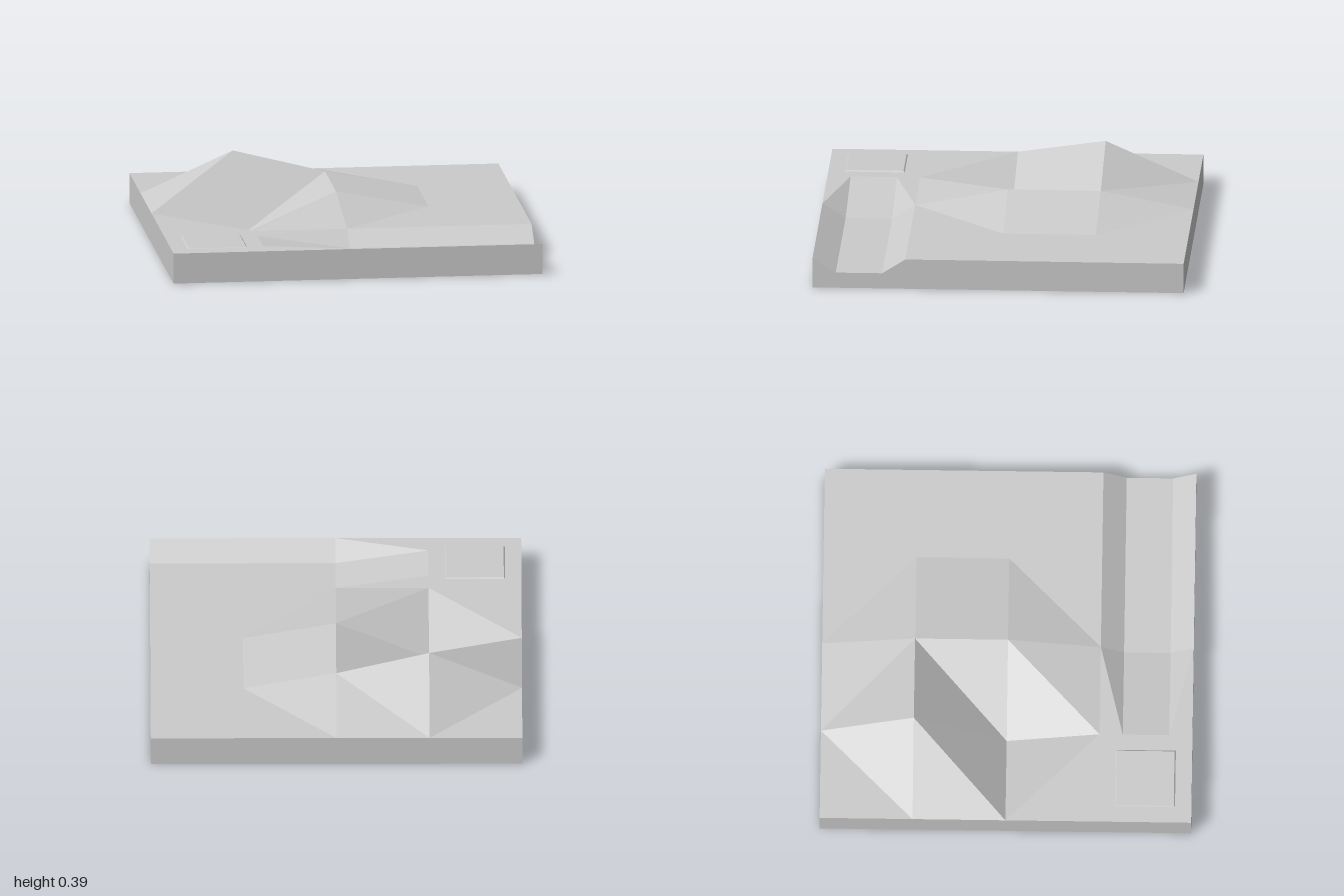
import * as THREE from 'three';

const GROUND = 0.165, BED = 0.085;

// Flat-shaded mesh from convex polygons, corners counter-clockwise from outside
function facetMesh(name, polygons) {
  const pos = [];
  for (const p of polygons)
    for (let i = 1; i < p.length - 1; i++) pos.push(...p[0], ...p[i], ...p[i + 1]);
  const geo = new THREE.BufferGeometry();
  geo.setAttribute('position', new THREE.Float32BufferAttribute(pos, 3));
  geo.computeVertexNormals();
  const mesh = new THREE.Mesh(geo, new THREE.MeshStandardMaterial({ color: 0xcccccc, flatShading: true }));
  mesh.name = name;
  return mesh;
}

// Hill: heights on a half-unit grid; everything else is level ground
function hillside() {
  const heights = { '-0.5,-0.5': 0.388, '0,-0.5': 0.26, '0,0': 0.26, '-0.5,0': 0.04 };
  const at = (x, z) => [x, heights[`${x},${z}`] ?? GROUND, z];
  // cells whose diagonal runs from back-left of the plan to front-right
  const flipped = ['-0.5,-1', '0,-1', '-1,0'];
  const faces = [];
  for (let x = -1; x < 1; x += 0.5) {
    for (let z = -1; z < 0.5; z += 0.5) {
      const a = at(x, z), b = at(x, z + 0.5), c = at(x + 0.5, z + 0.5), d = at(x + 0.5, z);
      if (flipped.includes(`${x},${z}`)) faces.push([a, b, c], [a, c, d]);
      else faces.push([a, b, d], [b, c, d]);
    }
  }
  return facetMesh('hillside', faces);
}

// Channel: sloped banks mirrored about z = 0.75, level bed and an entry ramp
function channel() {
  const G = GROUND, B = BED;
  const half = [
    [[-1, G, 0.5], [-0.5, G, 0.625], [0, G, 0.5]],
    [[-0.5, G, 0.625], [0, B, 0.625], [0, G, 0.5]],
    [[0, G, 0.5], [0, B, 0.625], [1, B, 0.625], [1, G, 0.5]],
  ];
  const mirrored = half.map(f => f.map(([x, y, z]) => [x, y, 1.5 - z]).reverse());
  return facetMesh('channel', [
    ...half, ...mirrored,
    [[-1, G, 0.5], [-1, G, 1], [-0.5, G, 0.875], [-0.5, G, 0.625]],
    [[-0.5, G, 0.625], [-0.5, G, 0.875], [0, B, 0.875], [0, B, 0.625]],
    [[0, B, 0.625], [0, B, 0.875], [1, B, 0.875], [1, B, 0.625]],
  ]);
}

// Base: underside and side walls, the +x wall following the channel profile
function base() {
  const wall = (x0, z0, y0, x1, z1, y1) => [[x0, 0, z0], [x1, 0, z1], [x1, y1, z1], [x0, y0, z0]];
  const G = GROUND;
  const faces = [
    [[-1, 0, -1], [1, 0, -1], [1, 0, 1], [-1, 0, 1]],
    wall(-1, 1, G, 1, 1, G),
    wall(1, -1, G, -1, -1, G),
    wall(-1, -1, G, -1, 1, G),
  ];
  const profile = [[1, G], [0.875, BED], [0.625, BED], [0.5, G], [-1, G]];
  for (let i = 0; i < profile.length - 1; i++)
    faces.push(wall(1, ...profile[i], 1, ...profile[i + 1]));
  return facetMesh('base', faces);
}

// Thin square pad with slightly sloped edges
function pad() {
  const geo = new THREE.CylinderGeometry(0.155 * Math.SQRT2, 0.163 * Math.SQRT2, 0.008, 4);
  geo.rotateY(Math.PI / 4);
  const mesh = new THREE.Mesh(geo, new THREE.MeshStandardMaterial({ color: 0xcccccc, flatShading: true }));
  mesh.position.set(-0.75, GROUND + 0.003, 0.75);
  mesh.name = 'squarePad';
  return mesh;
}

export function createModel() {
  const group = new THREE.Group();
  group.name = 'terrainTile';
  group.add(base(), hillside(), channel(), pad());
  return group;
}
